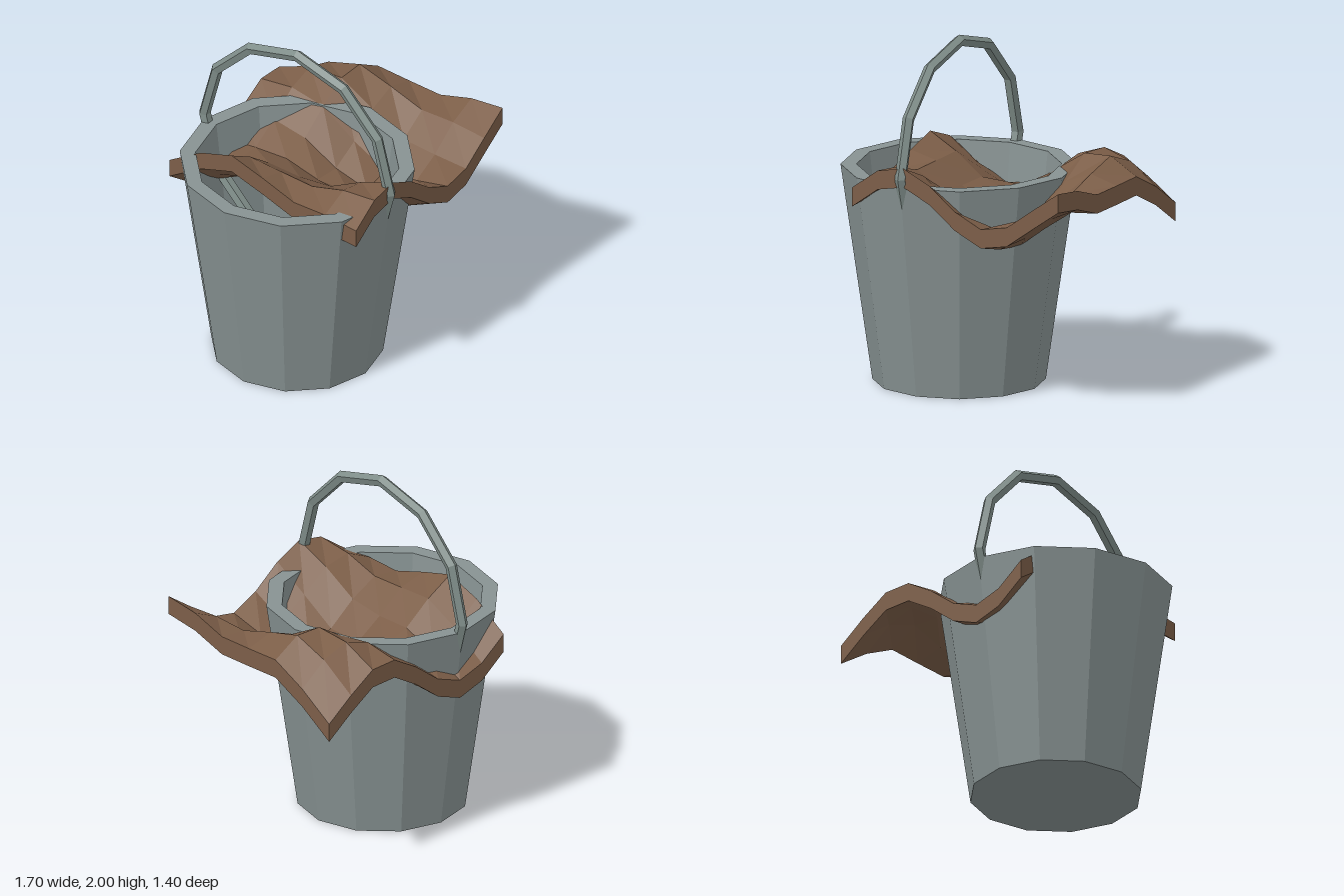
import * as THREE from 'three';

const BUCKET_X = -0.18;
const SIDES = 12;

function material(name, color) {
  const m = new THREE.MeshStandardMaterial({ color, flatShading: true });
  m.name = name;
  return m;
}

function addMesh(group, name, geometry, mat, x, y, z) {
  const mesh = new THREE.Mesh(geometry, mat);
  mesh.name = name;
  mesh.position.set(x, y, z);
  group.add(mesh);
  return mesh;
}

// Height of the cloth's upper face: a slanted wave along x plus a gentler one along z
function clothHeight(x, z) {
  const folds = 0.15 * Math.cos(5.4 * (x - 0.69 - 0.41 * z));
  const sway = -0.06 * Math.cos((2 * Math.PI * (z - 0.2)) / 0.95);
  return 1.16 + folds + sway;
}

export function createModel() {
  const group = new THREE.Group();
  group.name = 'bucketWithCloth';
  const metal = material('bucket grey', 0x879292);
  const handleMetal = material('handle grey', 0x7f8d89);
  const brown = material('cloth brown', 0x7c5e48);

  // Tapered hollow bucket: underside, outer wall, rim, inner wall, floor
  const profile = [
    [0, 0], [0.49, 0], [0.67, 1.25], [0.58, 1.25], [0.445, 0.1], [0, 0.1],
  ].map(([r, y]) => new THREE.Vector2(r, y));
  addMesh(group, 'bucket', new THREE.LatheGeometry(profile, SIDES), metal, BUCKET_X, 0, 0);

  // Ring handle: its lower half runs through the walls, inside the bucket
  const ring = new THREE.TorusGeometry(0.665, 0.035, 5, SIDES);
  ring.rotateY(Math.PI / 2);
  addMesh(group, 'handle', ring, handleMetal, BUCKET_X, 1.3, 0);

  // Thick wavy cloth draped over the rim
  const thickness = 0.11;
  const cloth = new THREE.BoxGeometry(1.34, thickness, 1.34, 8, 1, 6);
  cloth.translate(0.175, -thickness / 2, 0);
  const p = cloth.attributes.position;
  for (let i = 0; i < p.count; i++) {
    p.setY(i, p.getY(i) + clothHeight(p.getX(i), p.getZ(i)));
  }
  cloth.computeVertexNormals();
  addMesh(group, 'cloth', cloth, brown, 0, 0, 0);

  return group;
}
